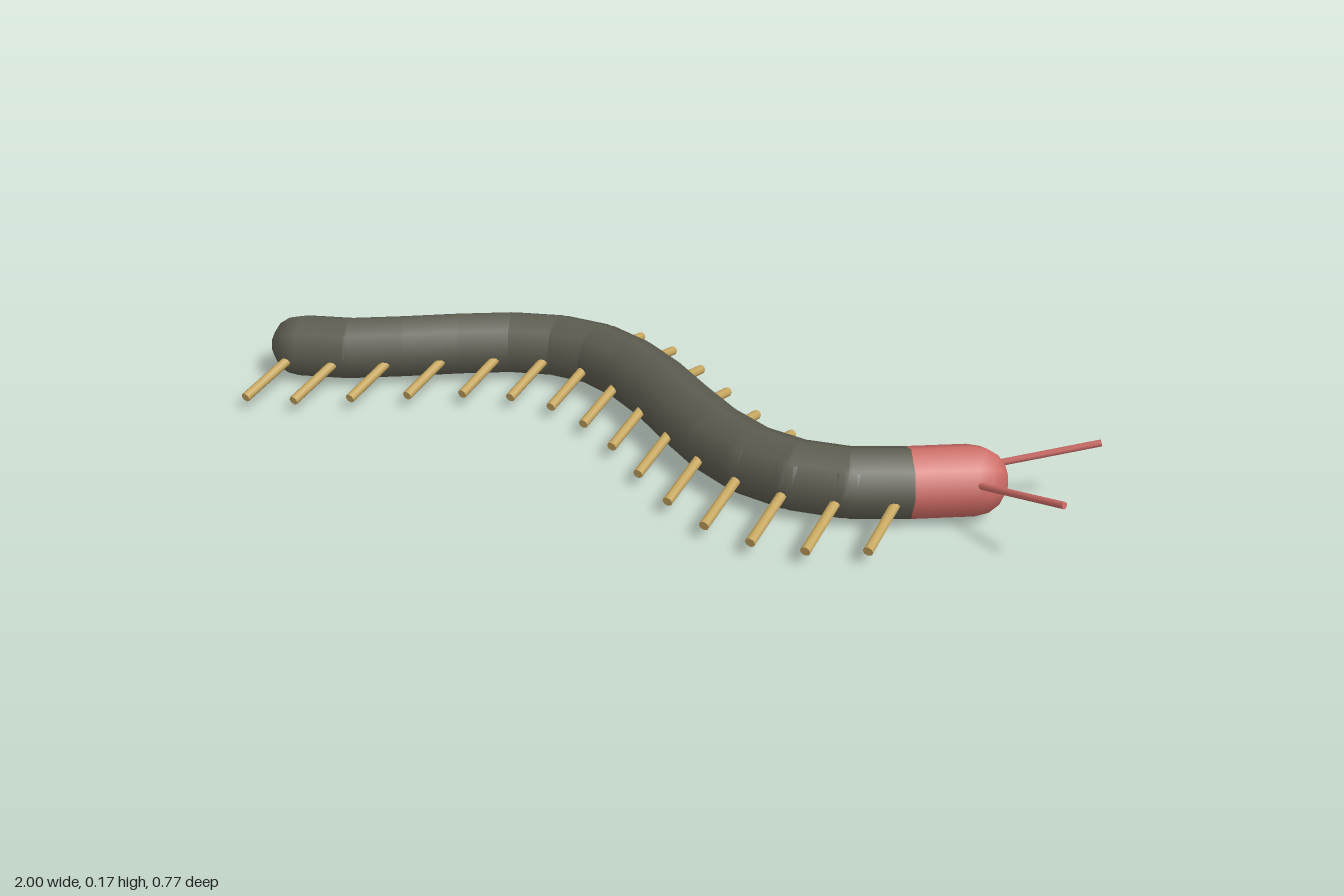
import * as THREE from 'three';

const RADIUS = 0.08;
const BODY_Y = 0.081;
const UP = new THREE.Vector3(0, 1, 0);

function material(name, color) {
  const m = new THREE.MeshStandardMaterial({ color });
  m.name = name;
  return m;
}

export function createModel() {
  const shell = material('dark shell', 0x5c5c50);
  const red = material('head red', 0xcc6a64);
  const tan = material('leg tan', 0xc8a860);

  const model = new THREE.Group();
  model.name = 'centipede';

  // Joints along the winding body, tail to head
  const sway = [0.145, 0.103, 0.03, -0.048, -0.118, -0.158, -0.162, -0.125,
    -0.062, 0.018, 0.092, 0.142, 0.155, 0.132, 0.072, 0];
  const joints = sway.map((z, i) => new THREE.Vector3(-0.92 + i * 0.1123, BODY_Y, z));

  // Thin straight rod between two points
  function rod(name, from, to, radius, mat) {
    const dir = to.clone().sub(from);
    const mesh = new THREE.Mesh(new THREE.CylinderGeometry(radius, radius, dir.length(), 8), mat);
    mesh.name = name;
    mesh.position.copy(from).lerp(to, 0.5);
    mesh.quaternion.setFromUnitVectors(UP, dir.normalize());
    model.add(mesh);
  }

  // Overlapping capsule segments; the last one is the head
  for (let i = 0; i < joints.length - 1; i++) {
    const a = joints[i], b = joints[i + 1];
    const isHead = i === joints.length - 2;
    const geo = new THREE.CapsuleGeometry(RADIUS, a.distanceTo(b), 4, 8);
    geo.rotateX(Math.PI / 2);
    const segment = new THREE.Mesh(geo, isHead ? red : shell);
    segment.name = isHead ? 'head' : 'bodySegment';
    segment.position.copy(a).lerp(b, 0.5);
    segment.lookAt(b);
    model.add(segment);

    // A pair of legs at each joint, sloping down and out
    for (const side of [1, -1]) {
      const foot = new THREE.Vector3(a.x, 0.035, a.z + side * 0.226);
      rod(side > 0 ? 'leftLeg' : 'rightLeg', a, foot, 0.0115, tan);
    }
  }

  // Antennae spreading forward and up from the head
  for (const side of [1, -1]) {
    rod('antenna',
      new THREE.Vector3(0.76, 0.092, side * 0.034),
      new THREE.Vector3(0.997, 0.161, side * 0.145), 0.0075, red);
  }

  return model;
}
